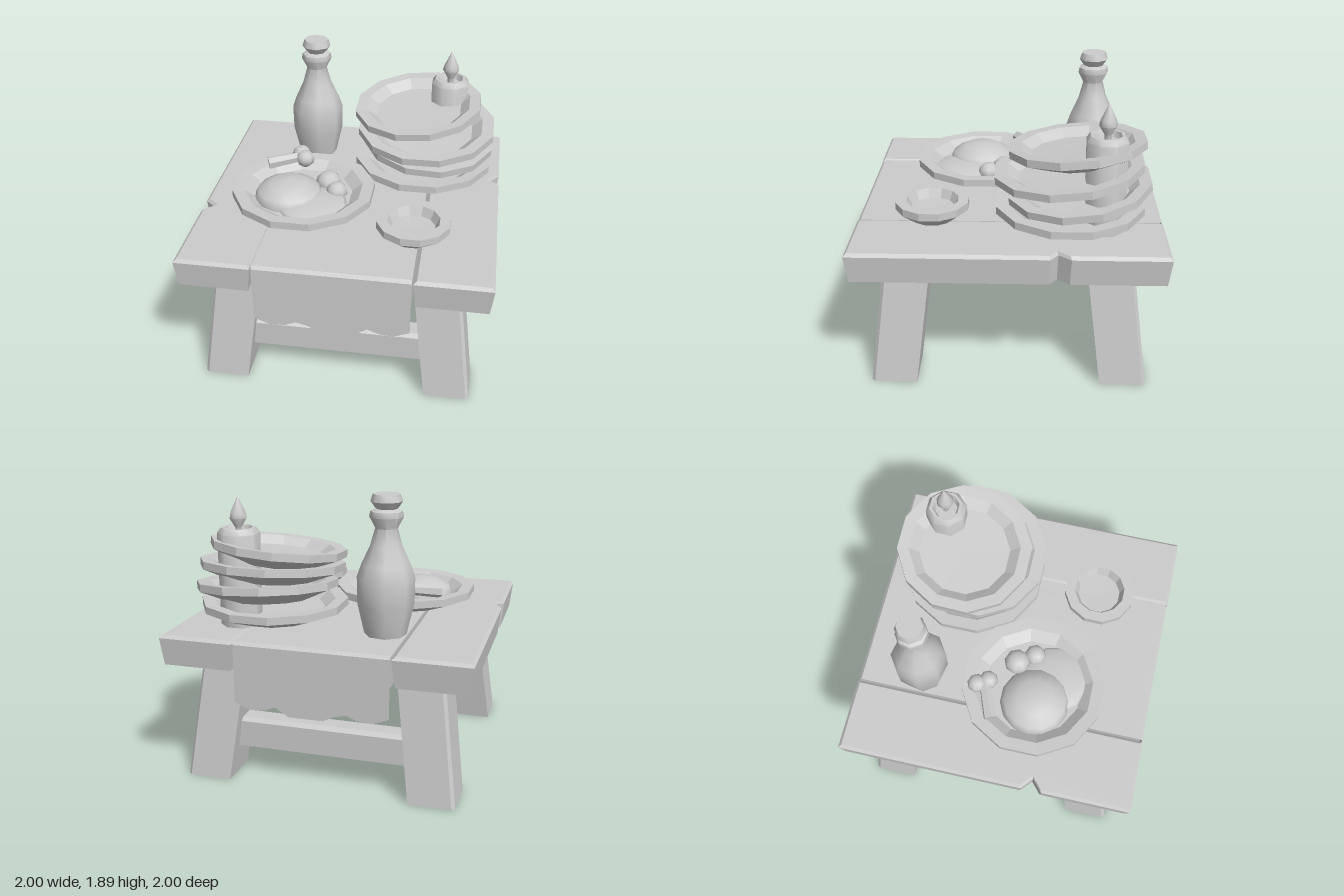
import * as THREE from 'three';
import { toCreasedNormals } from 'three/addons/utils/BufferGeometryUtils.js';

const flat = new THREE.MeshStandardMaterial({ color: 0xcccccc, flatShading: true });
const smooth = new THREE.MeshStandardMaterial({ color: 0xcccccc });
const thin = new THREE.MeshStandardMaterial({ color: 0xcccccc, flatShading: true, side: THREE.DoubleSide });

const vec = (pts) => pts.map(([x, y]) => new THREE.Vector2(x, y));

function add(parent, name, geometry, material, x = 0, y = 0, z = 0) {
  const mesh = new THREE.Mesh(geometry, material);
  mesh.name = name;
  mesh.position.set(x, y, z);
  parent.add(mesh);
  return mesh;
}

// Upright prism from an [x, z] outline, each vertex then moved by a rule.
function prism(outline, height, steps, rule) {
  const shape = new THREE.Shape(vec(outline.map(([x, z]) => [x, -z])));
  const geo = new THREE.ExtrudeGeometry(shape, { depth: height, steps, bevelEnabled: false });
  geo.rotateX(-Math.PI / 2);
  const p = geo.attributes.position;
  const v = new THREE.Vector3();
  for (let i = 0; i < p.count; i++) {
    rule(v.fromBufferAttribute(p, i));
    p.setXYZ(i, v.x, v.y, v.z);
  }
  geo.computeVertexNormals();
  return geo;
}

// Plank with chamfered top edge and sides drawn in slightly toward the bottom.
function plank(outline, cx) {
  return prism(outline, 0.2, 10, (v) => {
    const inset = v.y > 0.19 ? 0.02 : 0.02 * (1 - v.y / 0.18);
    const k = v.x - cx;
    v.x -= Math.sign(k) * inset * Math.min(1, Math.abs(k) / 0.2);
    v.z *= 1 - inset;
  });
}

function addTable(g) {
  // Outer planks, each with a split notch in its edge
  add(g, 'leftPlank', plank([[0.51, -1], [1, -1], [1, -0.39], [0.935, -0.31], [1, -0.26],
    [1, 1], [0.51, 1]], 0.755), flat, 0, 0.8);
  add(g, 'rightPlank', plank([[-0.51, -1], [-1, -1], [-1, 0.26], [-0.92, 0.33], [-1, 0.4],
    [-1, 1], [-0.51, 1]], -0.755), flat, 0, 0.8);
  add(g, 'middlePlank', new THREE.BoxGeometry(1.0, 0.19, 1.96), flat, 0, 0.895);

  // Splayed legs with the outer corner chamfered
  for (const sx of [-1, 1]) for (const sz of [-1, 1]) {
    const outline = [[0.6, 0.6], [0.9, 0.6], [0.9, 0.88], [0.88, 0.9], [0.6, 0.9]]
      .map(([x, z]) => [x * sx, z * sz]);
    add(g, 'leg', prism(outline, 0.81, 1, (v) => {
      v.x -= sx * v.y * 0.125;
      v.z -= sz * v.y * 0.125;
    }), flat);
  }

  // Stretchers joining the legs at front and back
  for (const sz of [-1, 1]) {
    const section = new THREE.Shape(vec([[-0.08, 0.2], [0.08, 0.2], [0.08, 0.375],
      [0.055, 0.4], [-0.055, 0.4], [-0.08, 0.375]]));
    const geo = new THREE.ExtrudeGeometry(section, { depth: 1.24, bevelEnabled: false });
    geo.translate(0, 0, -0.62).rotateY(Math.PI / 2);
    add(g, 'stretcher', geo, flat, 0, 0, sz * 0.7);
  }
}

// Runner: the same cross-section swept across x, with a ragged hem
function addCloth(g) {
  const hem = [[-0.5, 0.6], [-0.4, 0.56], [-0.3, 0.565], [-0.23, 0.595], [-0.15, 0.575], [-0.08, 0.54],
    [0.14, 0.54], [0.23, 0.595], [0.31, 0.565], [0.4, 0.56], [0.5, 0.6]];
  const pos = [];
  const idx = [];
  hem.forEach(([x, y], i) => {
    const rows = [[y, 0.995], [0.98, 0.995], [1, 0.975], [1, -0.975], [0.98, -0.995], [y, -0.995]];
    rows.forEach(([py, pz], j) => {
      pos.push(x, py, pz);
      if (i && j) {
        const d = i * 6 + j, c = d - 1, b = d - 6, a = b - 1;
        idx.push(a, c, d, a, d, b);
      }
    });
  });
  const geo = new THREE.BufferGeometry();
  geo.setAttribute('position', new THREE.Float32BufferAttribute(pos, 3));
  geo.setIndex(idx);
  geo.computeVertexNormals();
  add(g, 'tableRunner', geo, thin);
}

// Twelve-sided dish, placed by its rim centre and tilted by slopes along x and z
function addDish(g, name, r, x, rimY, z, slopeX = 0, slopeZ = 0, profile = null) {
  const k = r / 0.47 / Math.cos(Math.PI / 12);
  const pts = profile || [[0, -0.13], [0.27, -0.13], [0.47, -0.05], [0.47, 0], [0.39, -0.005],
    [0.32, -0.06], [0, -0.065]];
  const geo = new THREE.LatheGeometry(vec(pts.map(([a, b]) => [a * k, b])), 12);
  geo.rotateY(Math.PI / 12);
  const dish = add(g, name, geo, flat, x, rimY, z);
  dish.rotation.set(-Math.atan(slopeZ), 0, Math.atan(slopeX));
}

function addBlob(g, name, x, y, z, r, h, segments = 8) {
  const geo = new THREE.SphereGeometry(r, segments, 6);
  geo.scale(1, h / r, 1);
  add(g, name, geo, smooth, x, y, z);
}

function addFood(g) {
  const food = new THREE.Group();
  food.name = 'food';
  addBlob(food, 'mound', -0.42, 1.06, 0.23, 0.24, 0.13, 14);
  addBlob(food, 'sauce', -0.24, 1.06, 0.33, 0.25, 0.05, 14);
  addBlob(food, 'dumpling', -0.175, 1.09, 0.055, 0.09, 0.08);
  addBlob(food, 'dumpling', -0.1, 1.085, 0.165, 0.075, 0.07);
  // Bone with two knuckles
  const a = new THREE.Vector3(-0.62, 1.155, -0.03);
  const b = new THREE.Vector3(-0.38, 1.18, -0.13);
  const dir = b.clone().sub(a);
  const mid = a.clone().add(b).multiplyScalar(0.5);
  const shaft = add(food, 'boneShaft', new THREE.CylinderGeometry(0.035, 0.045, dir.length(), 6), flat,
    mid.x, mid.y, mid.z);
  shaft.quaternion.setFromUnitVectors(new THREE.Vector3(0, 1, 0), dir.normalize());
  addBlob(food, 'boneKnuckle', -0.41, 1.175, -0.17, 0.065, 0.06);
  addBlob(food, 'boneKnuckle', -0.37, 1.175, -0.1, 0.065, 0.06);
  g.add(food);
}

function turned(points, sides, turn = 0) {
  const geo = new THREE.LatheGeometry(vec(points), sides).rotateY(turn);
  return toCreasedNormals(geo, 0.85);
}

export function createModel() {
  const g = new THREE.Group();
  g.name = 'laidTable';
  addTable(g);
  addCloth(g);

  // Food plate, stack of plates and small bowl
  addDish(g, 'foodPlate', 0.47, -0.32, 1.13, 0.2);
  addDish(g, 'stackPlate', 0.475, 0.445, 1.13, -0.39);
  addDish(g, 'stackPlate', 0.455, 0.475, 1.265, -0.445, -0.05, -0.12);
  addDish(g, 'stackPlate', 0.47, 0.46, 1.385, -0.375, 0.01, -0.1);
  addDish(g, 'stackPlate', 0.435, 0.39, 1.515, -0.43, 0.08, -0.09);
  addDish(g, 'bowl', 0.235, 0.46, 1.13, 0.505, 0, 0, [[0, -0.13], [0.27, -0.13], [0.47, -0.05],
    [0.47, 0], [0.335, 0], [0.28, -0.06], [0, -0.065]]);
  addFood(g);

  // Bottle
  add(g, 'bottle', turned([[0, 0], [0.135, 0], [0.18, 0.2], [0.183, 0.37], [0.155, 0.45], [0.1, 0.57],
    [0.07, 0.68], [0.107, 0.75], [0.1, 0.785], [0.068, 0.8], [0.1, 0.845], [0.085, 0.89], [0, 0.89]],
  8, 0.2), smooth, -0.365, 1, -0.565);

  // Candle with hollow top, and its flame
  add(g, 'candle', turned([[0, 0], [0.135, 0], [0.138, 0.605], [0.112, 0.64], [0.092, 0.64],
    [0.075, 0.6], [0, 0.6]], 8, Math.PI / 8), smooth, 0.6, 1, -0.605);
  add(g, 'flame', turned([[0, 0], [0.02, 0], [0.022, 0.04], [0.058, 0.1], [0.05, 0.135], [0, 0.24]], 8),
    smooth, 0.6, 1.6, -0.605);
  return g;
}
